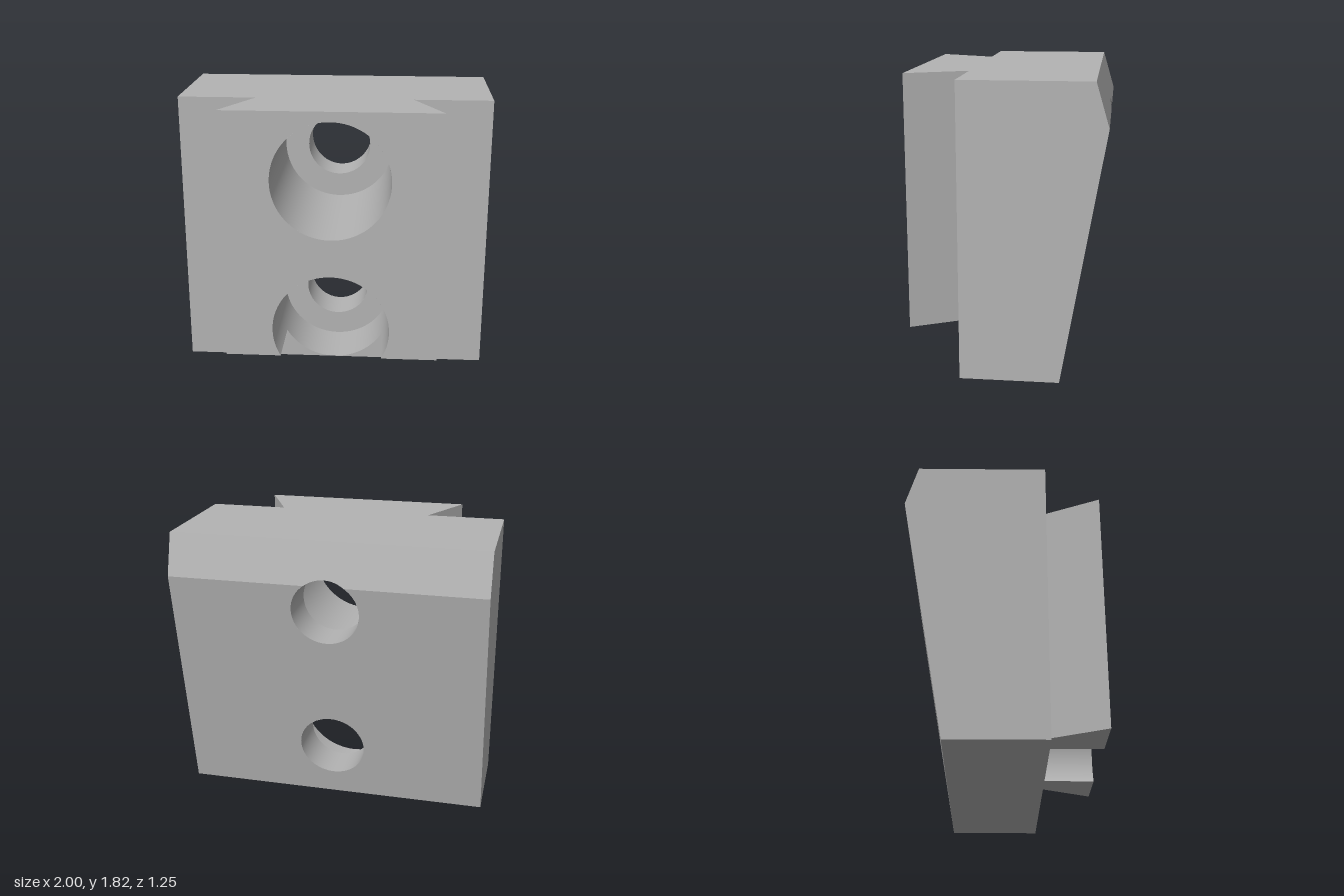
import * as THREE from 'three';

// Main dimensions
const H = 1.815, RIDGE = 1.55;                 // block height, height of the rear ridge
const FRONT = 0.25, RAIL = 0.625, FOOT = 0.19; // block front, rail front, rail bottom
const BORE = 0.215, SINK = 0.376;              // radii of bolt hole and counterbore
const LOW = 0.376, HIGH = 1.376;               // hole heights
const FLOORS = { [LOW]: -0.12, [HIGH]: -0.3 }; // z of the counterbore floors

// Sloping rear: leans back up to the ridge, then chamfers forward
const backZ = y => y <= RIDGE
  ? -0.357 - 0.268 * y / RIDGE
  : -0.625 + 0.078 * (y - RIDGE) / (H - RIDGE);

const polygon = pts => new THREE.Shape(pts.map(p => new THREE.Vector2(...p)));
const circle = (y, r) => new THREE.Path().absarc(0, y, r, 0, Math.PI * 2, false);

export function createModel() {
  const group = new THREE.Group();
  const grey = new THREE.MeshStandardMaterial({ color: 0xb3b3b3, side: THREE.DoubleSide });
  grey.name = 'grey metal';

  function add(name, geometry) {
    const mesh = new THREE.Mesh(geometry, grey);
    mesh.name = name;
    group.add(mesh);
  }

  function reverse(geometry) {
    geometry.index.array.reverse();
    return geometry;
  }

  // Flat face: a 2D shape placed in space by a rule
  function face(name, shape, place, flip = false) {
    const g = new THREE.ShapeGeometry(shape, 96);
    const p = g.attributes.position;
    for (let i = 0; i < p.count; i++) p.setXYZ(i, ...place(p.getX(i), p.getY(i)));
    if (flip) reverse(g);
    g.computeVertexNormals();
    add(name, g);
  }

  // Inward-facing round wall along z; angle 0 is at the bottom
  function wall(name, y, r, front, back, start = 0, length = Math.PI * 2) {
    const g = new THREE.CylinderGeometry(r, r, 1, 96, 1, true, start, length);
    g.rotateX(Math.PI / 2).translate(0, y, 0);
    const p = g.attributes.position, n = g.attributes.normal;
    for (let i = 0; i < p.count; i++) {
      p.setZ(i, p.getZ(i) > 0 ? front : back(p.getY(i)));
      n.setXYZ(i, -n.getX(i), -n.getY(i), -n.getZ(i));
    }
    add(name, reverse(g));
  }

  const atZ = z => (x, y) => [x, y, z];
  const onBack = (x, y) => [x, y, backZ(y)];
  const cut = Math.sqrt(SINK ** 2 - (LOW - FOOT) ** 2); // half width of the rail's bottom notch
  const cutAngle = Math.asin((LOW - FOOT) / SINK);

  // Block front, open where the rail joins and around the lower counterbore
  const front = polygon([[-1, 0], [1, 0], [1, H], [0.5, H], [0.5, FOOT], [cut, FOOT]]);
  front.absarc(0, LOW + 0.001, SINK, -cutAngle, -Math.PI + cutAngle, true);
  [[-cut, FOOT], [-0.5, FOOT], [-0.5, H], [-1, H]].forEach(p => front.lineTo(...p));
  face('blockFront', front, atZ(FRONT));

  // Rail front with one full hole and one cut by its bottom edge
  const rail = polygon([[0.685, FOOT], [0.685, H], [-0.685, H], [-0.685, FOOT], [-cut, FOOT]]);
  rail.absarc(0, LOW, SINK, Math.PI + cutAngle, -cutAngle, true);
  rail.holes.push(circle(HIGH, SINK));
  face('railFront', rail, atZ(RAIL));

  // Shared top and block underside
  face('top', polygon([[-1, backZ(H)], [1, backZ(H)], [1, FRONT], [0.5, FRONT], [0.685, RAIL],
    [-0.685, RAIL], [-0.5, FRONT], [-1, FRONT]]), (x, z) => [x, H, z], true);
  face('blockBottom', polygon([[-1, backZ(0)], [1, backZ(0)], [1, FRONT], [-1, FRONT]]),
    (x, z) => [x, 0, z]);

  // Mirrored sides of the block and the dovetail rail
  for (const s of [1, -1]) {
    const side = s > 0 ? 'left' : 'right';
    face(side + 'BlockSide', polygon([[FRONT, 0], [FRONT, H], [backZ(H), H], [backZ(RIDGE), RIDGE],
      [backZ(0), 0]]), (z, y) => [s, y, z], s > 0);
    face(side + 'RailSide', polygon([[FRONT, FOOT], [RAIL, FOOT], [RAIL, H], [FRONT, H]]),
      (z, y) => [s * (0.5 + 0.185 * (z - FRONT) / (RAIL - FRONT)), y, z], s > 0);
    face(side + 'RailBottom', polygon([[s * cut, FRONT], [s * 0.5, FRONT], [s * 0.685, RAIL],
      [s * cut, RAIL]]), (x, z) => [x, FOOT, z]);
  }

  // Rear face and chamfer; the upper hole crosses the ridge between them
  const a = Math.asin((RIDGE - HIGH) / BORE), w = BORE * Math.cos(a);
  const rear = polygon([[-1, 0], [1, 0], [1, RIDGE], [w, RIDGE]]);
  rear.absarc(0, HIGH, BORE, a, Math.PI - a, true);
  rear.lineTo(-1, RIDGE);
  rear.holes.push(circle(LOW, BORE));
  face('rearFace', rear, onBack, true);

  const chamfer = polygon([[-1, RIDGE], [-w, RIDGE]]);
  chamfer.absarc(0, HIGH, BORE, Math.PI - a, a, true);
  [[1, RIDGE], [1, H], [-1, H]].forEach(p => chamfer.lineTo(...p));
  face('rearChamfer', chamfer, onBack, true);

  // Bolt holes and the flat floors of their counterbores
  for (const y of [LOW, HIGH]) {
    const floor = new THREE.Shape().absarc(0, y, SINK, 0, Math.PI * 2, false);
    floor.holes.push(circle(y, BORE));
    face('counterboreFloor', floor, atZ(FLOORS[y]));
    wall('boltHole', y, BORE, FLOORS[y], backZ);
  }

  // Counterbore walls; the lower one starts further back beneath the rail
  const t = Math.PI / 2 - cutAngle;
  wall('upperCounterbore', HIGH, SINK, RAIL, () => FLOORS[HIGH]);
  wall('lowerCounterbore', LOW, SINK, RAIL, () => FLOORS[LOW], t, 2 * (Math.PI - t));
  wall('lowerCounterboreBase', LOW, SINK, FRONT, () => FLOORS[LOW], -t, 2 * t);

  return group;
}
